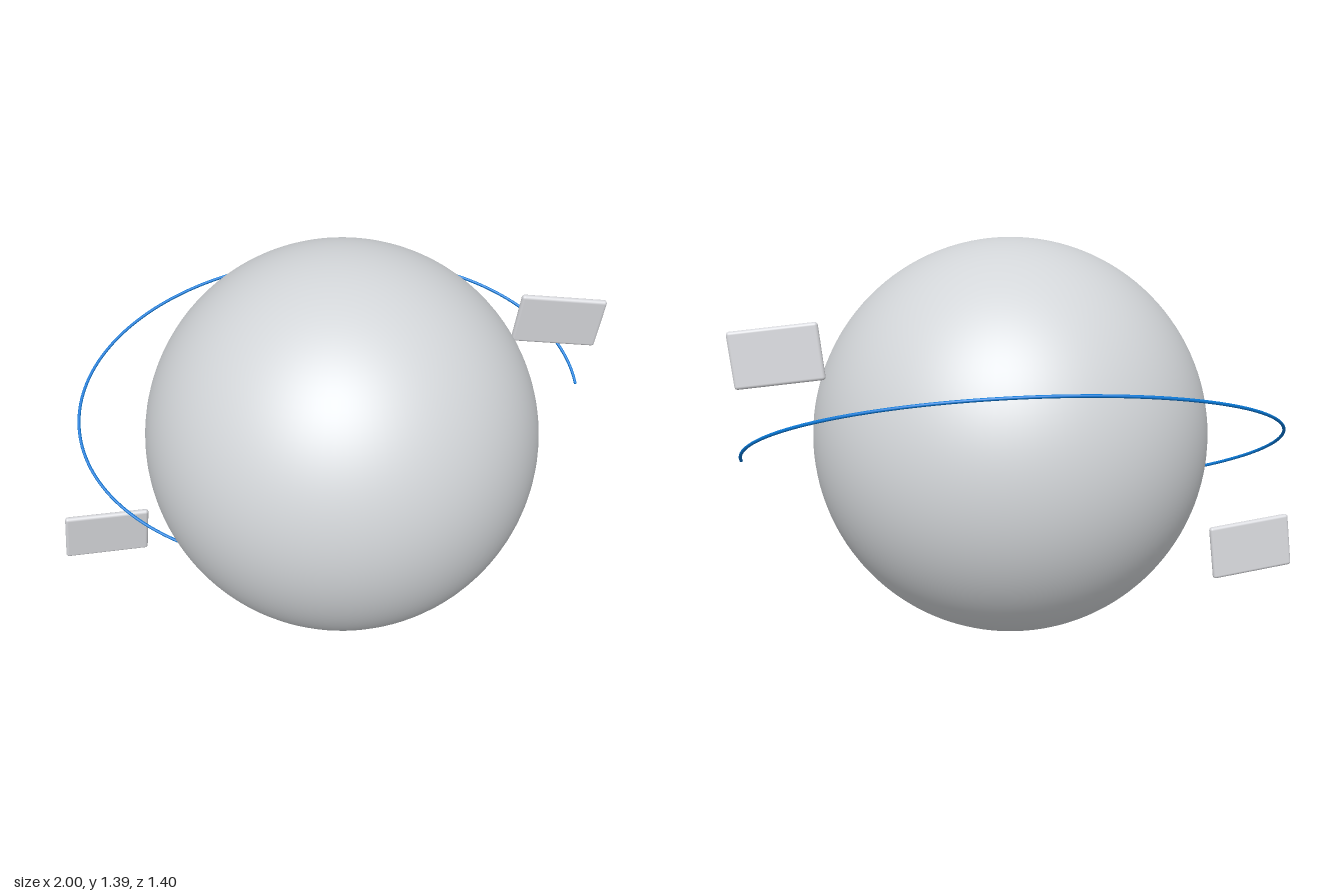
import * as THREE from 'three';
import { RoundedBoxGeometry } from 'three/addons/geometries/RoundedBoxGeometry.js';

const CENTER = new THREE.Vector3(0.038, 0.697, 0);
const TUBE = 0.0055;

// Tilted elliptical sweep that starts at the left and passes behind the body
class OrbitCurve extends THREE.Curve {
  getPoint(t, target = new THREE.Vector3()) {
    const a = t * 4.02;
    return target.set(
      0.038 + 0.93 * Math.cos(a),
      0.699 + 0.334 * Math.sin(a),
      -0.181 - 0.512 * Math.sin(a)
    );
  }
}

export function createModel() {
  const group = new THREE.Group();
  const bodyGrey = new THREE.MeshStandardMaterial({ name: 'body grey', color: 0xd3d6d9 });
  const panelGrey = new THREE.MeshStandardMaterial({ name: 'panel grey', color: 0xd6d7db });
  const orbitBlue = new THREE.MeshStandardMaterial({ name: 'orbit blue', color: 0x0878d6 });

  const add = (name, geometry, material, position) => {
    const mesh = new THREE.Mesh(geometry, material);
    mesh.name = name;
    if (position) mesh.position.copy(position);
    group.add(mesh);
    return mesh;
  };

  // Main sphere
  add('body', new THREE.SphereGeometry(0.697, 96, 64), bodyGrey, CENTER);

  // Thin orbit arc with rounded ends
  const curve = new OrbitCurve();
  add('orbitArc', new THREE.TubeGeometry(curve, 160, TUBE, 10, false), orbitBlue);
  for (const t of [0, 1]) {
    add('orbitEnd', new THREE.SphereGeometry(TUBE, 10, 8), orbitBlue, curve.getPoint(t));
  }

  // Floating rounded panels, upper left and lower right
  const panelShape = new RoundedBoxGeometry(0.308, 0.197, 0.023, 4, 0.0112);
  const panels = [
    ['leftPanel', 0.838, 1.035, -0.101, -0.11],
    ['rightPanel', -0.84, 0.26, -0.104, 0.11],
  ];
  for (const [name, x, y, z, turn] of panels) {
    const panel = add(name, panelShape, panelGrey, new THREE.Vector3(x, y, z));
    panel.rotation.set(0.1, turn, -0.1);
  }

  return group;
}
